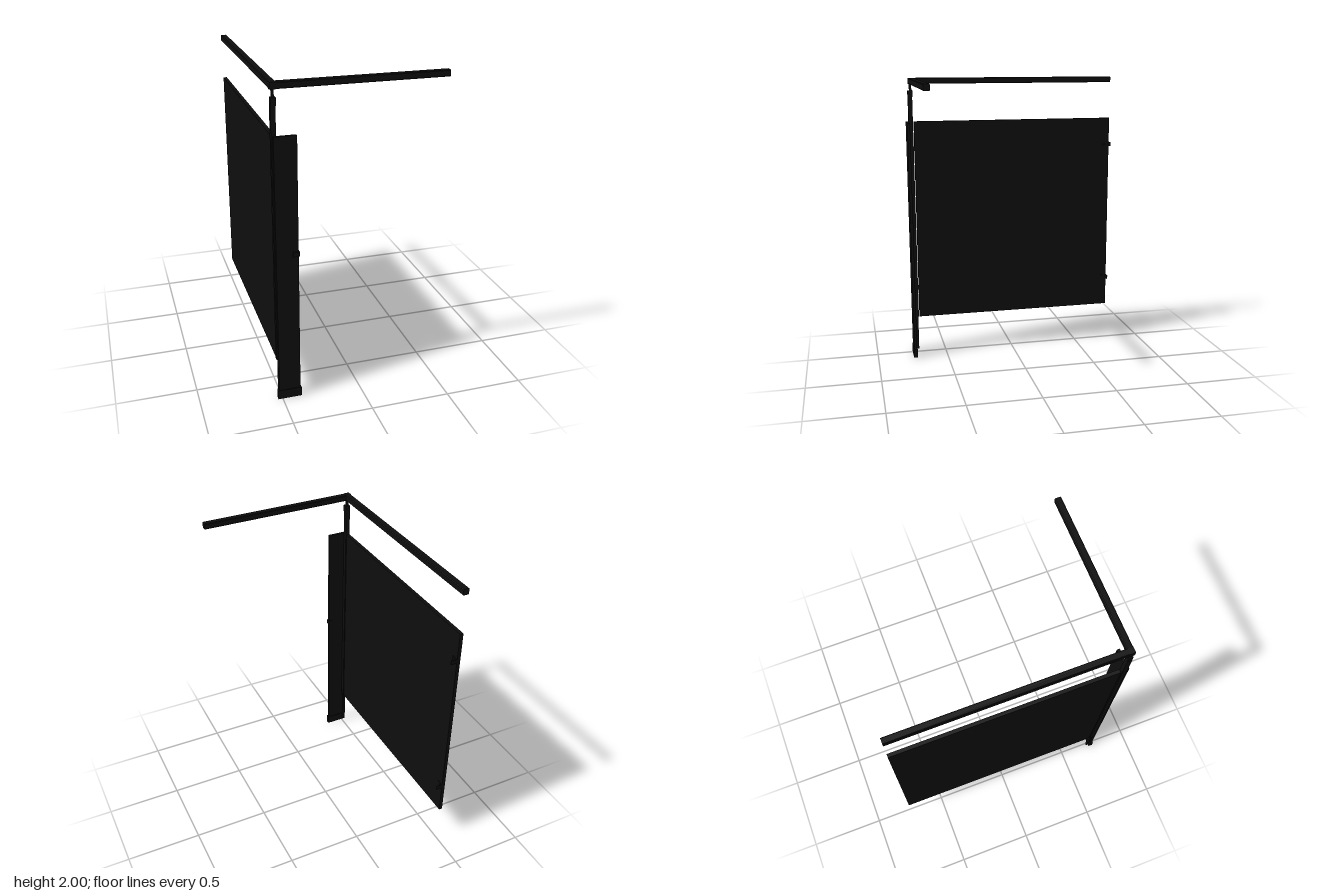
import * as THREE from 'three';

const black = new THREE.MeshStandardMaterial({ color: 0x0e0e0e });

function add(parent, name, geometry) {
  const mesh = new THREE.Mesh(geometry, black);
  mesh.name = name;
  parent.add(mesh);
  return mesh;
}

// Box given by its limits on each axis
function box(parent, name, [x0, x1], [y0, y1], [z0, z1]) {
  const mesh = add(parent, name, new THREE.BoxGeometry(x1 - x0, y1 - y0, z1 - z0));
  mesh.position.set((x0 + x1) / 2, (y0 + y1) / 2, (z0 + z1) / 2);
  return mesh;
}

// Square rail with lightly chamfered edges, running along z from its start
function rail(parent, name, length) {
  const h = 0.02, c = 0.004;
  const shape = new THREE.Shape([
    [-h + c, -h], [h - c, -h], [h, -h + c], [h, h - c],
    [h - c, h], [-h + c, h], [-h, h - c], [-h, -h + c],
  ].map(([x, y]) => new THREE.Vector2(x, y)));
  return add(parent, name, new THREE.ExtrudeGeometry(shape, { depth: length, bevelEnabled: false }));
}

// Small L-shaped angle bracket: one leg on the panel, one turned out to the wall or post
function angleBracket(parent, y, z, inward) {
  const g = new THREE.Group();
  g.name = 'panelBracket';
  g.position.set(-0.502, y, z);
  parent.add(g);
  const along = [0, inward * 0.045].sort((a, b) => a - b);
  const thin = [0, inward * 0.004].sort((a, b) => a - b);
  box(g, 'panelLeg', [0, 0.004], [-0.015, 0.015], along);
  box(g, 'wallLeg', [0, 0.042], [-0.015, 0.015], thin);
  const screw = add(g, 'screw', new THREE.CylinderGeometry(0.005, 0.005, 0.003, 10));
  screw.rotation.z = Math.PI / 2;
  screw.position.set(0.005, 0, inward * 0.028);
}

export function createModel() {
  const model = new THREE.Group();
  model.name = 'partition';

  // Overhead rails meeting at the front corner
  rail(model, 'sideRail', 1.465).position.set(-0.51, 1.98, -0.745);
  const front = rail(model, 'frontRail', 1.06);
  front.rotation.y = Math.PI / 2;
  front.position.set(-0.53, 1.98, 0.7);

  // Side panel
  box(model, 'sidePanel', [-0.525, -0.502], [0.27, 1.7], [-0.747, 0.687]);

  // Front pilaster with its floor shoe
  box(model, 'pilaster', [-0.52, -0.385], [0.005, 1.7], [0.723, 0.742]);
  box(model, 'pilasterShoe', [-0.528, -0.378], [0, 0.06], [0.718, 0.746]);

  // Corner post: slim rod inside a wider sleeve
  box(model, 'postRod', [-0.519, -0.504], [0.02, 1.97], [0.697, 0.713]);
  box(model, 'postSleeve', [-0.528, -0.499], [0.27, 1.88], [0.693, 0.723]);
  box(model, 'sleeveCap', [-0.526, -0.495], [1.87, 1.915], [0.691, 0.724]);

  // Brackets at the wall edge, and ties from the panel to the post
  for (const y of [0.49, 1.51]) {
    angleBracket(model, y, -0.747, 1);
    box(model, 'postTie', [-0.52, -0.506], [y - 0.015, y + 0.015], [0.68, 0.7]);
  }

  // Door keeper on the pilaster
  box(model, 'doorKeeper', [-0.42, -0.38], [0.965, 0.995], [0.72, 0.75]);

  return model;
}
